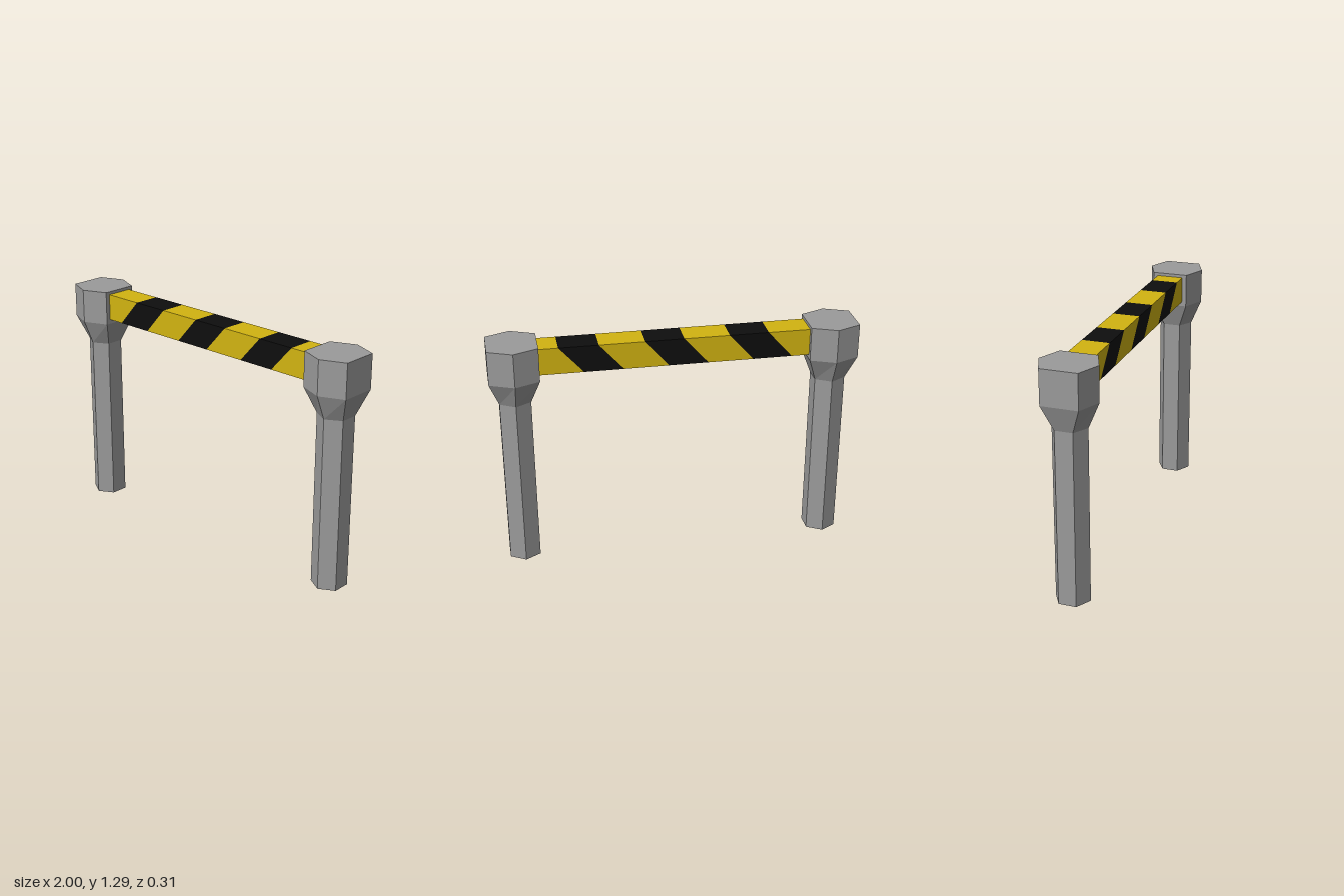
import * as THREE from 'three';

// Skins a row of cross-sections with flat faces, optionally closing the ends
function loft(rings, capStart, capEnd) {
  const pos = [];
  const tri = (...pts) => pts.forEach((p) => pos.push(...p));
  for (let r = 0; r < rings.length - 1; r++) {
    const a = rings[r], b = rings[r + 1];
    for (let i = 0; i < a.length; i++) {
      const j = (i + 1) % a.length;
      tri(a[i], a[j], b[j]);
      tri(a[i], b[j], b[i]);
    }
  }
  const first = rings[0], last = rings[rings.length - 1];
  for (let i = 1; i < first.length - 1; i++) {
    if (capStart) tri(first[0], first[i + 1], first[i]);
    if (capEnd) tri(last[0], last[i], last[i + 1]);
  }
  const geo = new THREE.BufferGeometry();
  geo.setAttribute('position', new THREE.Float32BufferAttribute(pos, 3));
  geo.computeVertexNormals();
  return geo;
}

// Six-sided section: flats face left and right, points face front and back
const hex = (y, x, flat, tip) => [
  [0, y, tip], [x, y, flat], [x, y, -flat],
  [0, y, -tip], [-x, y, -flat], [-x, y, flat],
];

// Square beam section, slanted so its lower edge trails towards the right
const BOTTOM = 1.13, TOP = 1.278, HALF = 0.075;
const section = ([low, high]) => [
  [high, TOP, -HALF], [high, TOP, HALF],
  [low, BOTTOM, HALF], [low, BOTTOM, -HALF],
];

export function createModel() {
  const material = (name, color) => {
    const m = new THREE.MeshStandardMaterial({ color });
    m.name = name;
    return m;
  };
  const grey = material('postGrey', 0x9b9b9b);
  const yellow = material('warningYellow', 0xd2b411);
  const black = material('stripeBlack', 0x0e0e0e);

  const model = new THREE.Group();
  model.name = 'barrier';
  const add = (parent, name, geo, mat) => {
    const mesh = new THREE.Mesh(geo, mat);
    mesh.name = name;
    parent.add(mesh);
  };

  // Posts: slim shaft flaring into a wider head
  const neck = hex(0.965, 0.084, 0.0485, 0.097);
  const shaft = loft([hex(0, 0.084, 0.0485, 0.097), neck], true, false);
  const head = loft(
    [neck, hex(1.105, 0.134, 0.1, 0.156), hex(1.295, 0.134, 0.1, 0.156)], false, true);
  for (const side of [-1, 1]) {
    const post = new THREE.Group();
    post.name = side > 0 ? 'leftPost' : 'rightPost';
    post.position.x = side * 0.866;
    add(post, 'shaft', shaft, grey);
    add(post, 'head', head, grey);
    model.add(post);
  }

  // Crossbar: alternating yellow and black slanted bands
  const beam = new THREE.Group();
  beam.name = 'crossbar';
  const cuts = [[-0.735, -0.735]];
  for (let i = 0; i < 3; i++) {
    const x = -0.635 + i * 0.459;
    cuts.push([x, x + 0.132], [x + 0.213, x + 0.345]);
  }
  cuts.push([0.735, 0.735]);
  for (let i = 0; i < cuts.length - 1; i++) {
    const dark = i % 2 === 1;
    add(beam, dark ? 'blackBand' : 'yellowBand',
      loft([section(cuts[i]), section(cuts[i + 1])], i === 0, i === cuts.length - 2),
      dark ? black : yellow);
  }
  model.add(beam);
  return model;
}
